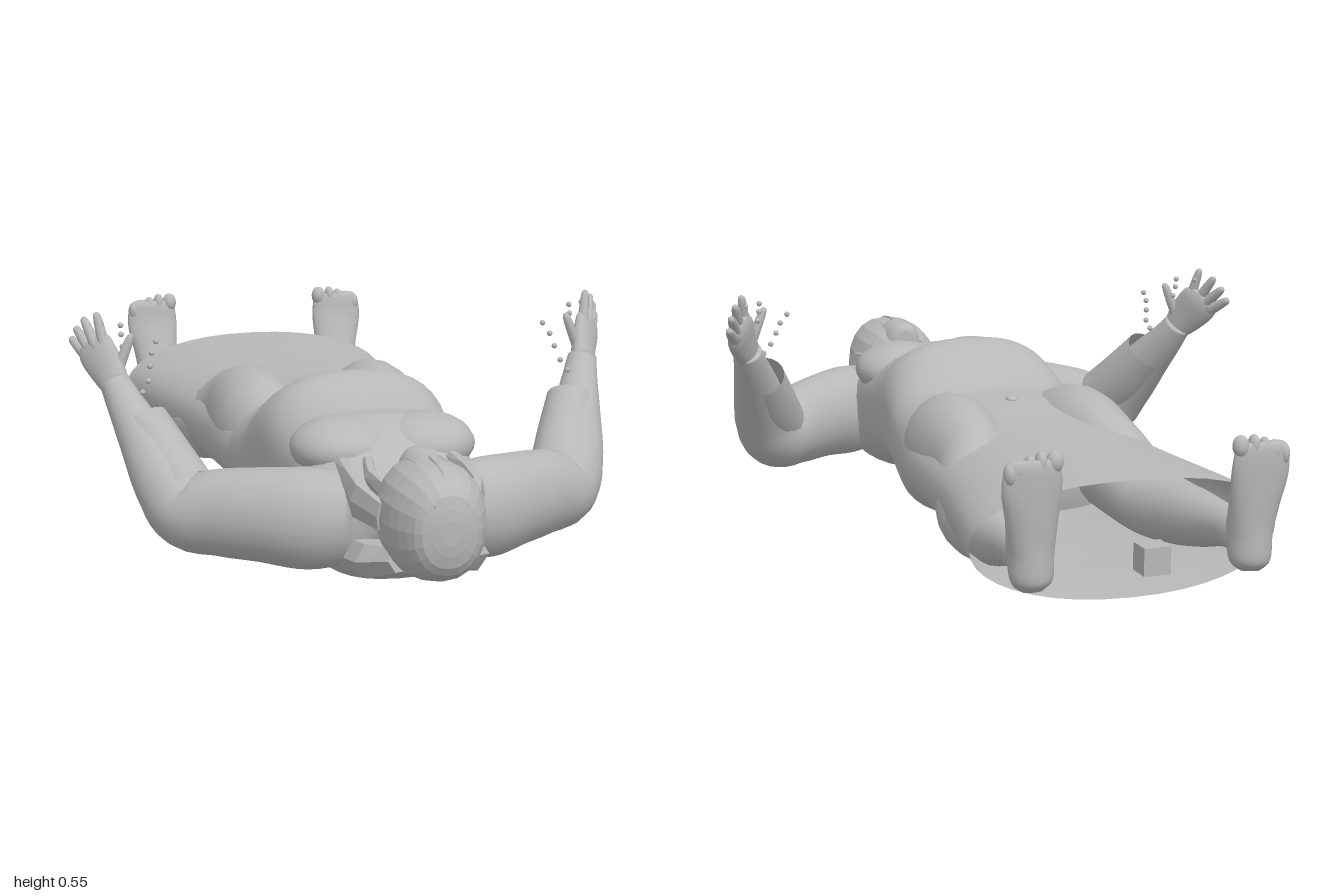
import * as THREE from 'three';

const V = (x, y, z) => new THREE.Vector3(x, y, z);

// Catmull-Rom interpolation of rows of numbers
function smooth(rows, n) {
  const out = [], at = i => rows[Math.max(0, Math.min(rows.length - 1, i))];
  for (let i = 0; i < rows.length - 1; i++) {
    for (let k = 0; k < n; k++) {
      const t = k / n, [a, b, c, d] = [at(i - 1), at(i), at(i + 1), at(i + 2)];
      out.push(b.map((_, j) => b[j] + 0.5 * t * (c[j] - a[j] + t * (2 * a[j] - 5 * b[j] + 4 * c[j] - d[j] + t * (3 * (b[j] - c[j]) + d[j] - a[j])))));
    }
  }
  out.push(rows[rows.length - 1]);
  return out;
}

// Skin over closed rings of points, with optional end caps
function loft(rings, capped = true) {
  const m = rings[0].length, pos = rings.flat().flatMap(p => [p.x, p.y, p.z]), idx = [];
  for (let r = 0; r < rings.length - 1; r++) {
    for (let i = 0; i < m; i++) {
      const a = r * m + i, b = r * m + (i + 1) % m;
      idx.push(a, b, a + m, b, b + m, a + m);
    }
  }
  if (capped) {
    [0, rings.length - 1].forEach((r, e) => {
      const c = rings[r].reduce((s, p) => s.add(p), V(0, 0, 0)).divideScalar(m);
      const ci = pos.length / 3;
      pos.push(c.x, c.y, c.z);
      for (let i = 0; i < m; i++) {
        const a = r * m + i, b = r * m + (i + 1) % m;
        idx.push(ci, e ? a : b, e ? b : a);
      }
    });
  }
  const g = new THREE.BufferGeometry();
  g.setAttribute('position', new THREE.Float32BufferAttribute(pos, 3));
  g.setIndex(idx);
  g.computeVertexNormals();
  return g;
}

// Rows along +z: [z, half width, bottom y, top y]
function trunk(rows, { sides = 40, steps = 5, power = 0.9, capped = true } = {}) {
  const bend = v => Math.sign(v) * Math.abs(v) ** power;
  return loft(smooth(rows, steps).map(([z, w, lo, hi]) => Array.from({ length: sides }, (_, i) => {
    const a = i / sides * Math.PI * 2;
    return V(w * bend(Math.cos(a)), (lo + hi) / 2 + (hi - lo) / 2 * bend(Math.sin(a)), z);
  })), capped);
}

// Rows along a path: [x, y, z, radius across, radius along ref]
function limb(rows, { s = 1, ref = V(0, 1, 0), sides = 20, steps = 5, capped = true } = {}) {
  const pts = smooth(rows.map(r => [r[0] * s, r[1], r[2], r[3], r[4] ?? r[3]]), steps);
  return loft(pts.map((p, i) => {
    const q0 = pts[Math.max(0, i - 1)], q1 = pts[Math.min(pts.length - 1, i + 1)];
    const T = V(q1[0] - q0[0], q1[1] - q0[1], q1[2] - q0[2]).normalize();
    const N = ref.clone().cross(T).normalize(), B = T.clone().cross(N);
    return Array.from({ length: sides }, (_, k) => {
      const a = k / sides * Math.PI * 2;
      return V(p[0], p[1], p[2]).addScaledVector(N, p[3] * Math.cos(a)).addScaledVector(B, p[4] * Math.sin(a));
    });
  }), capped);
}

export function createModel() {
  const model = new THREE.Group();
  const grey = new THREE.MeshStandardMaterial({ color: 0xb8b8b8, side: THREE.DoubleSide });
  grey.name = 'plain grey';
  const facetGrey = grey.clone();
  facetGrey.flatShading = true;
  const add = (name, geo, parent = model, mat = grey) => {
    const m = new THREE.Mesh(geo, mat);
    m.name = name;
    parent.add(m);
    return m;
  };
  const ball = (name, x, y, z, rx, ry, rz, parent) => {
    const m = add(name, new THREE.SphereGeometry(1, 20, 14), parent);
    m.position.set(x, y, z);
    m.scale.set(rx, ry, rz);
    return m;
  };

  // Torso lying on its back, head towards +z
  add('torso', trunk([
    [-0.32, 0.20, 0.09, 0.25], [-0.18, 0.25, 0.06, 0.29], [-0.08, 0.255, 0.036, 0.31], [0.0, 0.245, 0.008, 0.315],
    [0.07, 0.235, 0.012, 0.335], [0.14, 0.23, 0.03, 0.38], [0.22, 0.222, 0.045, 0.402], [0.31, 0.215, 0.05, 0.37],
    [0.39, 0.208, 0.04, 0.35], [0.46, 0.205, 0.025, 0.35], [0.53, 0.205, 0.01, 0.325], [0.6, 0.20, 0.012, 0.29],
    [0.66, 0.17, 0.035, 0.265], [0.71, 0.095, 0.07, 0.25], [0.76, 0.065, 0.11, 0.24],
  ], { power: 0.8 }));
  ball('navelBead', 0, 0.312, -0.1, 0.013, 0.008, 0.02);

  // Open skirt, its rim curving back at the sides
  const skirt = trunk([
    [-0.86, 0.35, 0.035, 0.29], [-0.7, 0.33, 0.04, 0.292], [-0.55, 0.305, 0.04, 0.293], [-0.4, 0.283, 0.04, 0.295],
    [-0.25, 0.272, 0.038, 0.3], [-0.1, 0.265, 0.034, 0.312], [-0.01, 0.25, 0.008, 0.314],
  ], { capped: false });
  const p = skirt.attributes.position;
  for (let i = 0; i < p.count; i++) {
    const k = Math.max(0, (-0.7 - p.getZ(i)) / 0.16);
    p.setZ(i, p.getZ(i) + 0.04 * k * (p.getX(i) / 0.35) ** 2);
  }
  skirt.computeVertexNormals();
  add('skirt', skirt);

  // Head with faceted hair
  const head = new THREE.Group();
  head.name = 'head';
  model.add(head);
  add('hair', trunk([
    [0.735, 0.075, 0.12, 0.315], [0.77, 0.098, 0.095, 0.33], [0.83, 0.11, 0.088, 0.338], [0.9, 0.106, 0.09, 0.338],
    [0.96, 0.085, 0.108, 0.322], [0.99, 0.06, 0.14, 0.295], [1.0, 0.02, 0.19, 0.245],
  ], { sides: 20, steps: 2, power: 0.9 }), head, facetGrey);
  add('chin', trunk([[0.725, 0.02, 0.25, 0.33], [0.74, 0.045, 0.2, 0.345], [0.79, 0.055, 0.18, 0.346], [0.85, 0.04, 0.2, 0.338], [0.88, 0.01, 0.24, 0.3]],
    { sides: 20, steps: 4 }), head);
  for (let i = -2; i <= 2; i++) {
    const x = i * 0.034, h = 0.34 - i ** 2 * 0.009;
    add('braid', new THREE.TubeGeometry(new THREE.CatmullRomCurve3(
      [V(x, h - 0.002, 0.79), V(x, h, 0.87), V(x * 0.85, h - 0.018, 0.95), V(x * 0.45, 0.275, 0.993)]), 12, 0.004, 5), head);
  }

  for (const s of [1, -1]) {
    const side = s > 0 ? 'left' : 'right';
    const group = name => {
      const g = new THREE.Group();
      g.name = side + name;
      model.add(g);
      return g;
    };

    // Hair panels beside the neck and over the shoulders
    const locks = group('HairLocks');
    add('frontLock', limb([[0.105, 0.22, 0.84, 0.012, 0.035], [0.132, 0.235, 0.75, 0.018, 0.045], [0.13, 0.26, 0.67, 0.018, 0.03], [0.125, 0.28, 0.59, 0.016, 0.012]],
      { s, sides: 6, steps: 1 }), locks, facetGrey);
    add('innerLock', limb([[0.08, 0.25, 0.76, 0.01, 0.03], [0.085, 0.265, 0.68, 0.014, 0.02], [0.07, 0.285, 0.6, 0.012, 0.01]],
      { s, sides: 6, steps: 1 }), locks, facetGrey);
    add('backLock', limb([[0.07, 0.13, 0.86, 0.03, 0.03], [0.1, 0.11, 0.78, 0.05, 0.042], [0.105, 0.1, 0.71, 0.05, 0.042]],
      { s, sides: 6, steps: 1 }), locks, facetGrey);

    // Broad, shallow bust
    ball(side + 'Bust', s * 0.095, 0.285, 0.465, 0.115, 0.068, 0.12);

    // Bent arm with raised forearm
    const arm = group('Arm');
    add('arm', limb([
      [0.11, 0.165, 0.625, 0.08, 0.1], [0.2, 0.16, 0.595, 0.095, 0.113], [0.29, 0.16, 0.54, 0.092, 0.105], [0.37, 0.155, 0.48, 0.088, 0.098],
      [0.435, 0.15, 0.43, 0.085, 0.085], [0.475, 0.205, 0.385, 0.073], [0.51, 0.29, 0.31, 0.057], [0.54, 0.36, 0.245, 0.042], [0.558, 0.405, 0.21, 0.034],
    ], { s }), arm);
    add('sleeveCuff', limb([[0.44, 0.19, 0.41, 0.072], [0.47, 0.25, 0.35, 0.066], [0.505, 0.325, 0.285, 0.056]],
      { s, capped: false }), arm);

    // Hand: palm, fingers and thumb
    const hand = group('Hand');
    const ref = V(-0.56 * s, -0.14, -0.56);
    add('palm', limb([[0.553, 0.39, 0.222, 0.032, 0.028], [0.568, 0.425, 0.192, 0.045, 0.022], [0.588, 0.465, 0.155, 0.05, 0.018], [0.596, 0.485, 0.14, 0.038, 0.01]],
      { s, ref, sides: 14 }), hand);
    const fingers = [[0.57, 0.465, 0.175, 0.586, 0.552, 0.145], [0.587, 0.47, 0.16, 0.61, 0.535, 0.11],
      [0.6, 0.465, 0.143, 0.625, 0.51, 0.09], [0.608, 0.45, 0.13, 0.634, 0.483, 0.077], [0.55, 0.425, 0.205, 0.515, 0.51, 0.205]];
    fingers.forEach(([a, b, c, d, e, f], i) => {
      const mix = t => [a + (d - a) * t, b + (e - b) * t, c + (f - c) * t];
      add(i < 4 ? 'finger' : 'thumb', limb([[...mix(0), 0.014], [...mix(0.5), 0.012], [...mix(0.9), 0.009], [...mix(1), 0.003]],
        { s, ref, sides: 8, steps: 3 }), hand);
    });

    // Small floating beads near the palm
    const beads = group('Beads');
    [[0.46, 0.49, 0.205], [0.473, 0.467, 0.22], [0.48, 0.44, 0.235], [0.488, 0.41, 0.255], [0.503, 0.387, 0.265],
      [0.535, 0.525, 0.175], [0.535, 0.505, 0.18], [0.535, 0.48, 0.195], [0.575, 0.525, 0.15], [0.572, 0.505, 0.16]]
      .forEach(([x, y, z]) => ball('bead', s * x, y, z, 0.0065, 0.0065, 0.0065, beads));

    // Leg: thigh rises through the skirt, calf shows at its side
    const leg = group('Leg');
    add('leg', limb([
      [0.13, 0.17, 0.02, 0.09, 0.11], [0.15, 0.2, -0.08, 0.105, 0.13], [0.155, 0.212, -0.18, 0.103, 0.128], [0.165, 0.195, -0.31, 0.09, 0.112],
      [0.205, 0.14, -0.43, 0.086, 0.085], [0.222, 0.13, -0.52, 0.076, 0.078], [0.237, 0.14, -0.66, 0.06, 0.065], [0.245, 0.155, -0.8, 0.042, 0.045], [0.247, 0.155, -0.89, 0.042, 0.045],
    ], { s }), leg);
    // Foot pointing up, with toes along its top
    add('foot', limb([[0.245, 0.088, -0.922, 0.02, 0.022], [0.246, 0.11, -0.918, 0.044, 0.042], [0.247, 0.17, -0.91, 0.05, 0.05],
      [0.25, 0.24, -0.927, 0.057, 0.036], [0.255, 0.31, -0.942, 0.066, 0.024], [0.255, 0.36, -0.947, 0.06, 0.019], [0.255, 0.373, -0.947, 0.045, 0.012]],
      { s, ref: V(0, 0, 1), sides: 18 }), leg);
    [0.207, 0.237, 0.261, 0.284, 0.305].forEach((x, i) =>
      ball('toe', s * x, 0.366 - Math.max(0, i - 1) * 0.007, -0.947, i ? 0.013 : 0.018, 0.024, 0.018, leg));
  }

  // Small block between the feet
  add('block', new THREE.BoxGeometry(0.06, 0.06, 0.06)).position.set(0, 0.15, -0.97);
  return model;
}
